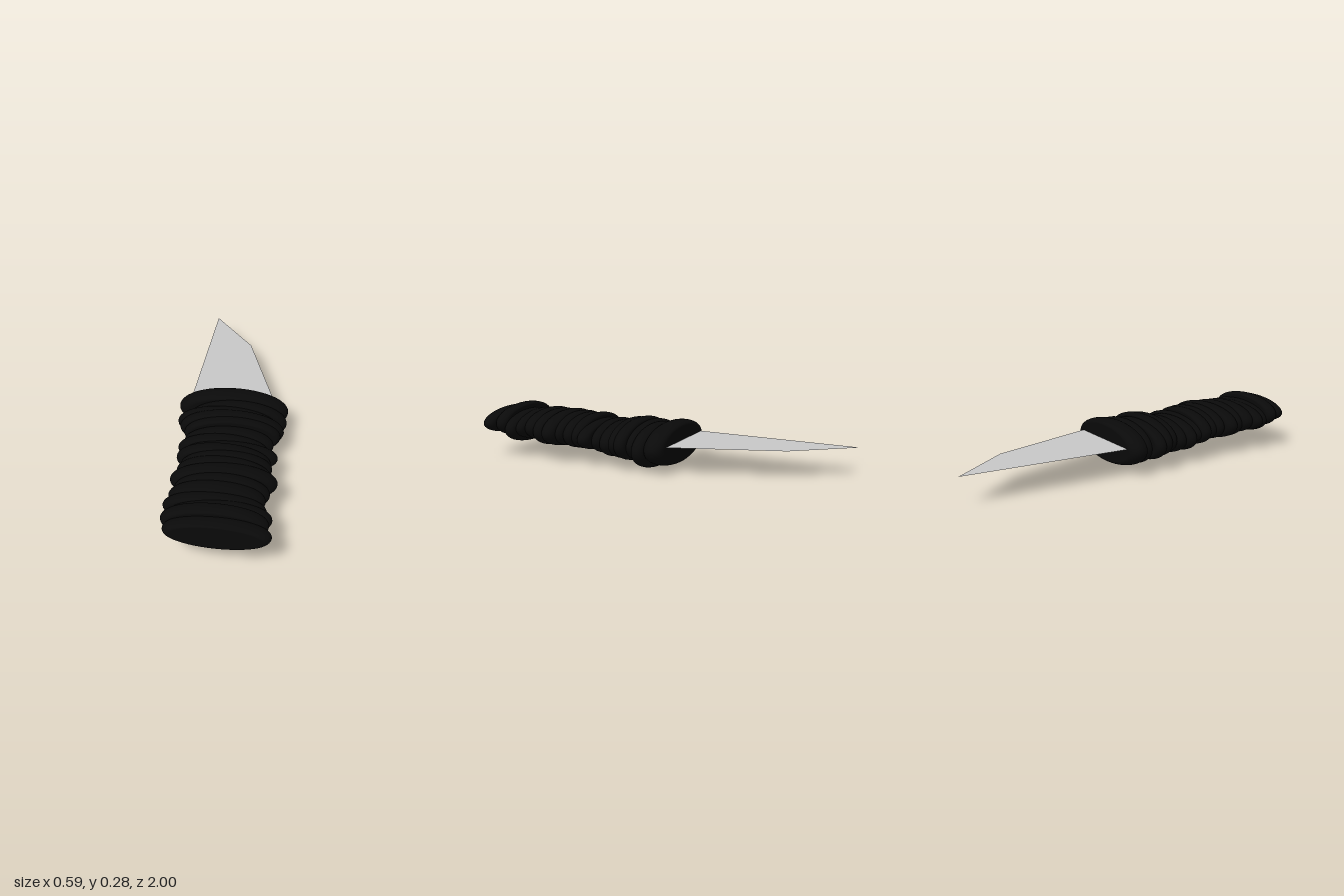
import * as THREE from 'three';

const gripMaterial = new THREE.MeshStandardMaterial({ color: 0x0a0a0a });
const bladeMaterial = new THREE.MeshStandardMaterial({ color: 0xcccccc, side: THREE.DoubleSide });

// One turn of the wrapping: a flattened disc with a rounded rim, its axis along z.
function wrapRing([z, half, x0, x1, y0, y1, tilt = 0]) {
  const rx = (x1 - x0) / 2, ry = (y1 - y0) / 2;
  const profile = [new THREE.Vector2(0, -half)];
  for (let i = 0; i <= 12; i++) {
    const a = -Math.PI / 2 + (Math.PI * i) / 12;
    profile.push(new THREE.Vector2(rx - half + half * Math.cos(a), half * Math.sin(a)));
  }
  profile.push(new THREE.Vector2(0, half));
  const geometry = new THREE.LatheGeometry(profile, 64);
  geometry.rotateX(Math.PI / 2);
  geometry.scale(1, ry / rx, 1);
  geometry.rotateY(tilt);
  const ring = new THREE.Mesh(geometry, gripMaterial);
  ring.position.set((x0 + x1) / 2, (y0 + y1) / 2, z);
  return ring;
}

// Wraps from the blade end to the butt: z, half thickness, x range, y range, tilt
const wraps = [
  [-0.055, 0.055, -0.295, 0.295, 0.02, 0.245],
  [0.03, 0.036, -0.23, 0.293, 0.003, 0.235],
  [0.09, 0.034, -0.28, 0.25, 0.03, 0.235, -0.02],
  [0.138, 0.034, -0.26, 0.285, 0.03, 0.25],
  [0.185, 0.03, -0.23, 0.27, 0.035, 0.245, 0.02],
  [0.25, 0.04, -0.22, 0.24, 0.035, 0.225, 0.03],
  [0.312, 0.034, -0.24, 0.22, 0.045, 0.225],
  [0.37, 0.036, -0.21, 0.27, 0.07, 0.225, 0.02],
  [0.42, 0.036, -0.23, 0.24, 0.06, 0.25, -0.03],
  [0.472, 0.034, -0.2, 0.25, 0.065, 0.25, 0.03],
  [0.525, 0.034, -0.21, 0.25, 0.07, 0.255, -0.02],
  [0.585, 0.042, -0.23, 0.285, 0.07, 0.26, 0.04],
  [0.655, 0.036, -0.2, 0.255, 0.065, 0.26],
  [0.715, 0.042, -0.215, 0.24, 0.085, 0.26],
  [0.78, 0.034, -0.23, 0.25, 0.09, 0.25],
  [0.83, 0.034, -0.2, 0.28, 0.075, 0.25, 0.03],
  [0.888, 0.036, -0.22, 0.27, 0.1, 0.28],
  [0.955, 0.037, -0.2, 0.288, 0.12, 0.26, -0.02],
];

export function createModel() {
  const model = new THREE.Group();
  model.name = 'knife';

  const handle = new THREE.Group();
  handle.name = 'wrappedHandle';
  wraps.forEach((wrap, i) => {
    const ring = wrapRing(wrap);
    ring.name = `handleWrap${i + 1}`;
    handle.add(ring);
  });
  model.add(handle);

  // Flat, paper-thin blade lying level (shape y becomes -z)
  const outline = new THREE.Shape([
    [-0.24, 0.1], [0.222, 0.1], [0.03, 0.69], [-0.21, 1],
  ].map(([x, y]) => new THREE.Vector2(x, y)));
  const blade = new THREE.Mesh(new THREE.ShapeGeometry(outline).rotateX(-Math.PI / 2), bladeMaterial);
  blade.name = 'blade';
  blade.position.y = 0.15;
  model.add(blade);

  return model;
}
